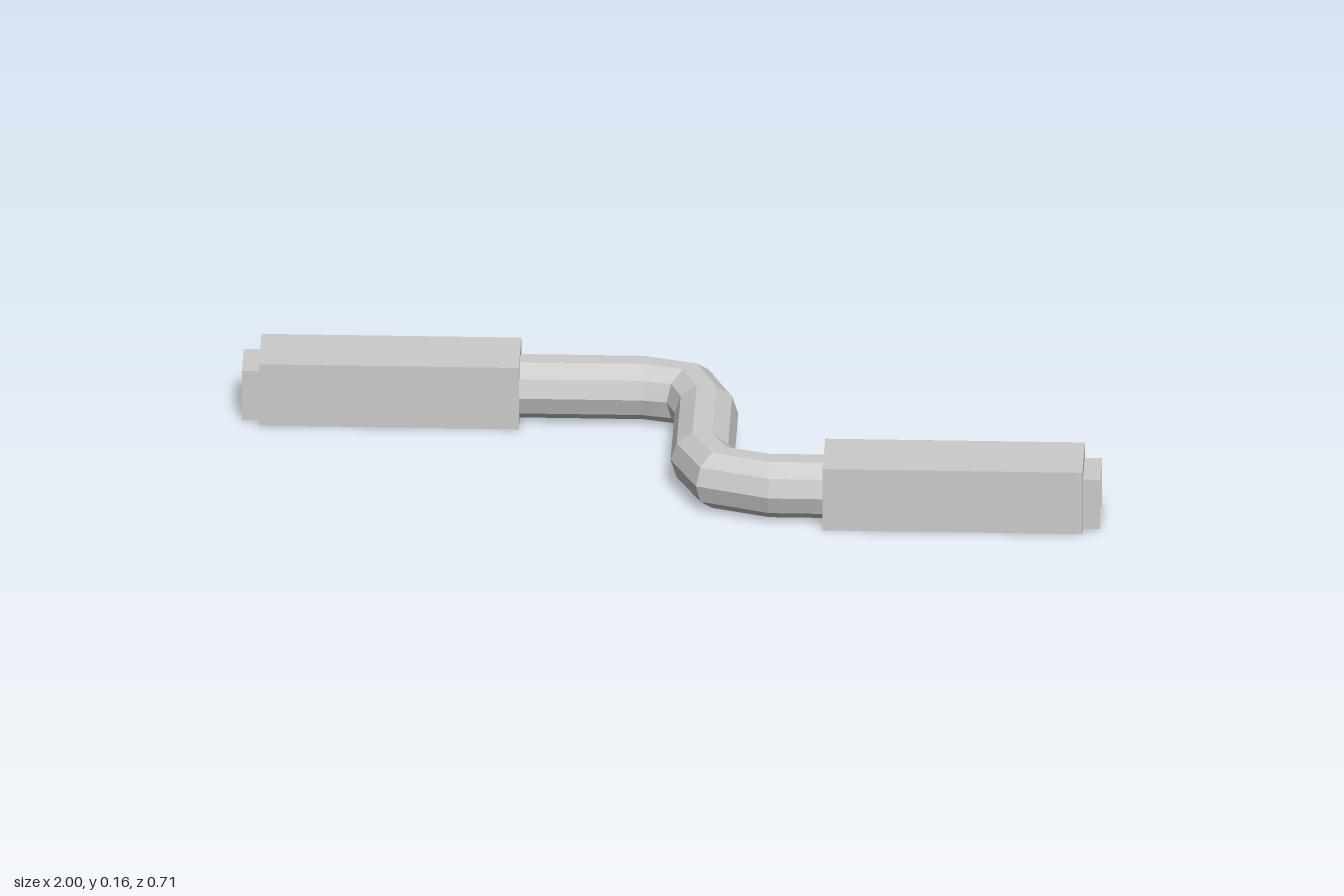
import * as THREE from 'three';

const SIDES = 10, RADIUS = 0.0735, CABLE_Y = 0.0725, CABLE_Z = 0.27;

const material = new THREE.MeshStandardMaterial({
  color: 0xcccccc, flatShading: true, side: THREE.DoubleSide,
});

function part(name, geometry) {
  const mesh = new THREE.Mesh(geometry, material);
  mesh.name = name;
  return mesh;
}

// Hollow ten-sided cable; each station is [x, z, heading in degrees]
function cableGeometry(stations) {
  const points = [], index = [];
  stations.forEach(([x, z, degrees], i) => {
    const h = THREE.MathUtils.degToRad(degrees);
    for (let j = 0; j < SIDES; j++) {
      const a = (j / SIDES) * Math.PI * 2;
      const side = RADIUS * Math.cos(a);
      points.push(x - Math.sin(h) * side, CABLE_Y + RADIUS * Math.sin(a), z + Math.cos(h) * side);
      if (i === 0) continue;
      const k = (j + 1) % SIDES;
      const p = (i - 1) * SIDES, q = i * SIDES;
      index.push(p + j, q + j, q + k, p + j, q + k, p + k);
    }
  });
  const geometry = new THREE.BufferGeometry();
  geometry.setAttribute('position', new THREE.Float32BufferAttribute(points, 3));
  geometry.setIndex(index);
  const flat = geometry.toNonIndexed();
  flat.computeVertexNormals();
  return flat;
}

// Open-ended rectangular sleeve running along x
function sleeve(x0, x1, r) {
  return new THREE.CylinderGeometry(Math.SQRT1_2, Math.SQRT1_2, 1, 4, 1, true)
    .rotateY(Math.PI / 4)
    .rotateZ(-Math.PI / 2)
    .scale(x1 - x0, r.y1 - r.y0, r.z1 - r.z0)
    .translate((x0 + x1) / 2, (r.y0 + r.y1) / 2, (r.z0 + r.z1) / 2);
}

const corners = (r) => [[r.z0, r.y0], [r.z1, r.y0], [r.z1, r.y1], [r.z0, r.y1]]
  .map(([z, y]) => new THREE.Vector2(z, y));

// End wall across x with an opening in it
function endPlate(x, rect, hole) {
  const shape = new THREE.Shape(corners(rect));
  shape.holes.push(new THREE.Path(hole));
  return new THREE.ShapeGeometry(shape).rotateY(-Math.PI / 2).translate(x, 0, 0);
}

function connector(name) {
  const body = { z0: 0.186, z1: 0.357, y0: 0, y1: 0.155 };
  const tip = { z0: 0.21, z1: 0.333, y0: 0.003, y1: 0.127 };
  const cableHole = Array.from({ length: SIDES }, (_, j) => {
    const a = (j / SIDES) * Math.PI * 2;
    return new THREE.Vector2(CABLE_Z + RADIUS * Math.cos(a), CABLE_Y + RADIUS * Math.sin(a));
  });
  const group = new THREE.Group();
  group.name = name;
  group.add(
    part('housing', sleeve(0.36, 0.96, body)),
    part('cableEndWall', endPlate(0.36, body, cableHole)),
    part('plugEndWall', endPlate(0.96, body, corners(tip))),
    part('plugShell', sleeve(0.96, 1, tip)),
  );
  return group;
}

export function createModel() {
  const model = new THREE.Group();
  model.name = 'cableWithConnectors';

  // S-bend with two faceted corners
  model.add(part('cable', cableGeometry([
    [-0.36, -CABLE_Z, 0],
    [-0.075, -CABLE_Z, 0],
    [0.033, -0.238, 45],
    [0.075, -0.13, 90],
    [0.075, 0.135, 90],
    [0.117, 0.229, 45],
    [0.235, CABLE_Z, 0],
    [0.36, CABLE_Z, 0],
  ])));

  // The right connector is the left one turned half way round
  const right = connector('rightConnector');
  right.rotation.y = Math.PI;
  model.add(connector('leftConnector'), right);
  return model;
}
